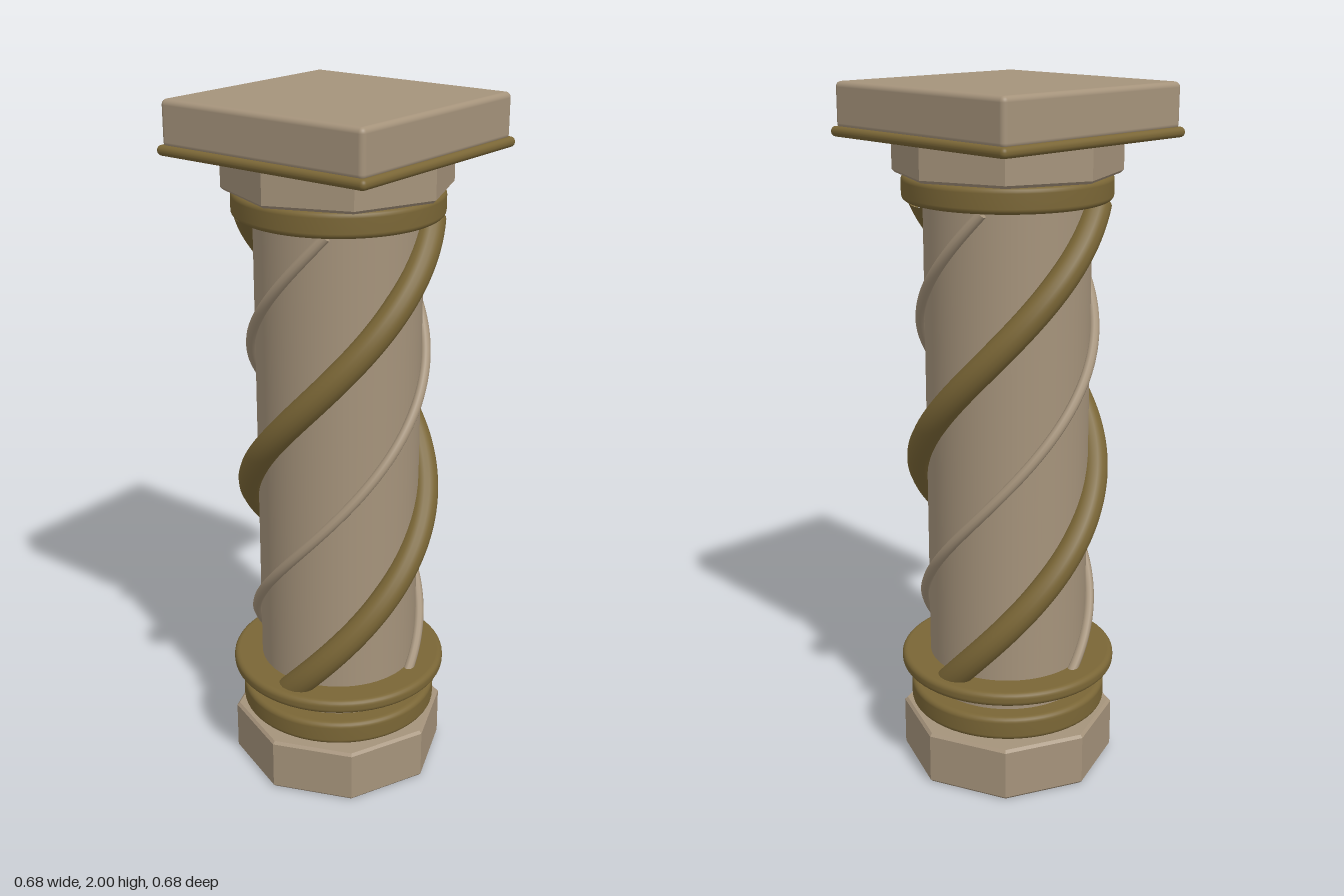
import * as THREE from 'three';
import { mergeGeometries } from 'three/addons/utils/BufferGeometryUtils.js';
import { RoundedBoxGeometry } from 'three/addons/geometries/RoundedBoxGeometry.js';

const stone = new THREE.MeshStandardMaterial({ color: 0xa5937b });
stone.name = 'stone';
const gold = new THREE.MeshStandardMaterial({ color: 0x7a6636 });
gold.name = 'agedGold';

// Helix around the shaft, angle measured from +z towards +x
class Helix extends THREE.Curve {
  constructor(radius, startAngle, y0, y1, sweep) {
    super();
    Object.assign(this, { radius, startAngle, y0, y1, sweep });
  }
  getPoint(t, target = new THREE.Vector3()) {
    const a = this.startAngle + this.sweep * t;
    return target.set(this.radius * Math.sin(a), this.y0 + (this.y1 - this.y0) * t, this.radius * Math.cos(a));
  }
}

// Tube along a curve with flat end caps
function cappedTube(curve, radius, sides) {
  const parts = [new THREE.TubeGeometry(curve, 120, radius, sides, false)];
  for (const [t, sign] of [[0, -1], [1, 1]]) {
    const dir = curve.getTangentAt(t).multiplyScalar(sign);
    const turn = new THREE.Quaternion().setFromUnitVectors(new THREE.Vector3(0, 0, 1), dir);
    const p = curve.getPointAt(t);
    parts.push(new THREE.CircleGeometry(radius, sides).applyQuaternion(turn).translate(p.x, p.y, p.z));
  }
  return mergeGeometries(parts);
}

// Octagonal block with a small bevel and flat faces
function octagon(radius, y0, y1, bevel) {
  const pts = [[0, y0], [radius - bevel, y0], [radius, y0 + bevel], [radius, y1 - bevel], [radius - bevel, y1], [0, y1]]
    .map(([x, y]) => new THREE.Vector2(x, y));
  const geo = new THREE.LatheGeometry(pts, 8).toNonIndexed();
  geo.computeVertexNormals();
  return geo;
}

// Round collar with softened outer edges, its inside hidden in the shaft
function collar(radius, y0, y1, round) {
  const pts = [new THREE.Vector2(0.2, y0), new THREE.Vector2(radius - round - 0.002, y0)];
  for (const [cy, from] of [[y0 + round, -Math.PI / 2], [y1 - round, 0]]) {
    for (let i = 0; i <= 5; i++) {
      const a = from + (i / 5) * Math.PI / 2;
      pts.push(new THREE.Vector2(radius - round + round * Math.cos(a), cy + round * Math.sin(a)));
    }
  }
  pts.push(new THREE.Vector2(radius - round - 0.002, y1), new THREE.Vector2(0.2, y1));
  return new THREE.LatheGeometry(pts, 64);
}

export function createModel() {
  const model = new THREE.Group();
  model.name = 'twistedColumn';
  const add = (name, geo, mat, y = 0) => {
    const mesh = new THREE.Mesh(geo, mat);
    mesh.name = name;
    mesh.position.y = y;
    model.add(mesh);
  };

  // Base, shaft and capital
  add('base', octagon(0.315, 0, 0.16, 0.008), stone);
  add('shaft', new THREE.CylinderGeometry(0.232, 0.232, 1.64, 64), stone, 0.95);
  add('capital', octagon(0.315, 1.76, 1.865, 0.008), stone);

  // Gold collars
  add('lowerCollar', collar(0.29, 0.18, 0.25, 0.015), gold);
  add('baseRing', collar(0.317, 0.302, 0.342, 0.015), gold);
  add('upperCollar', collar(0.29, 1.69, 1.76, 0.015), gold);

  // Square top
  add('trimPlate', new RoundedBoxGeometry(0.68, 0.028, 0.68, 4, 0.0135), gold, 1.868);
  add('topSlab', new RoundedBoxGeometry(0.656, 0.125, 0.656, 4, 0.015), stone, 1.9375);

  // Two thick gold strands alternating with two thin stone strands
  const sweep = Math.PI * 5 / 3;
  for (let i = 0; i < 4; i++) {
    const thick = i % 2 === 0;
    const curve = new Helix(thick ? 0.25 : 0.243, (i - 1) * Math.PI / 2, 0.302, 1.685, sweep);
    add(thick ? 'goldStrand' : 'stoneStrand', cappedTube(curve, thick ? 0.04 : 0.015, thick ? 16 : 10), thick ? gold : stone);
  }
  return model;
}
